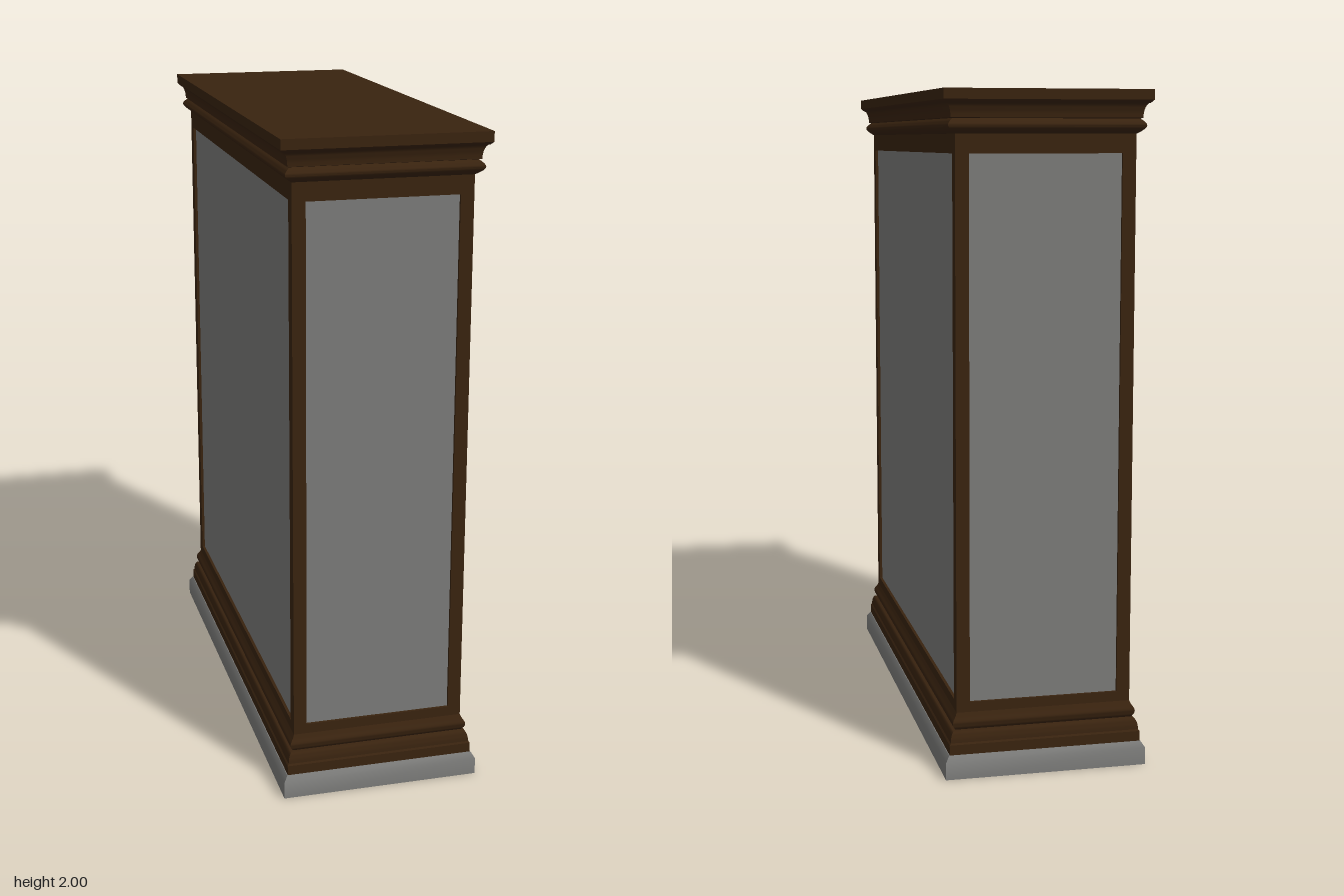
import * as THREE from 'three';
import { toCreasedNormals } from 'three/addons/utils/BufferGeometryUtils.js';

const HX = 0.265, HZ = 0.755;      // half width and half depth of the body
const BOTTOM = 0.22, TOP = 1.82;   // panel opening
const STILE = 0.04, RECESS = 0.01;

// Sweep an [outset, y] profile (bottom to top) round the body with mitred corners, capped at both ends
function moulding(profile) {
  const pos = [];
  const ring = ([o, y]) => [[1, 1], [1, -1], [-1, -1], [-1, 1]].map(([sx, sz]) => [sx * (HX + o), y, sz * (HZ + o)]);
  const quad = (a, b, c, d) => pos.push(...a, ...b, ...c, ...a, ...c, ...d);
  const rings = profile.map(ring);
  for (let i = 0; i < rings.length - 1; i++) {
    for (let k = 0; k < 4; k++) {
      const n = (k + 1) % 4;
      quad(rings[i][k], rings[i][n], rings[i + 1][n], rings[i + 1][k]);
    }
  }
  const t = rings[rings.length - 1], b = rings[0];
  quad(t[0], t[1], t[2], t[3]);
  quad(b[3], b[2], b[1], b[0]);
  const g = new THREE.BufferGeometry();
  g.setAttribute('position', new THREE.Float32BufferAttribute(pos, 3));
  return toCreasedNormals(g, 0.6);
}

// Half-round bead between two heights
function bead(y0, y1, inset, bulge, steps = 8) {
  return Array.from({ length: steps + 1 }, (_, i) => {
    const t = i / steps;
    return [inset + bulge * Math.sin(Math.PI * t), y0 + (y1 - y0) * t];
  });
}

// Quarter-round cove from one [outset, y] point to another
function cove(a, b, sweepFirst, steps = 6) {
  return Array.from({ length: steps + 1 }, (_, i) => {
    const t = (i / steps) * Math.PI / 2;
    const u = sweepFirst ? Math.sin(t) : 1 - Math.cos(t);
    const v = sweepFirst ? 1 - Math.cos(t) : Math.sin(t);
    return [a[0] + (b[0] - a[0]) * u, a[1] + (b[1] - a[1]) * v];
  });
}

function rectangle(Type, hw, y0, y1) {
  const s = new Type();
  s.moveTo(-hw, y0);
  s.lineTo(hw, y0);
  s.lineTo(hw, y1);
  s.lineTo(-hw, y1);
  s.closePath();
  return s;
}

export function createModel() {
  const wood = new THREE.MeshStandardMaterial({ color: 0x39230f });
  wood.name = 'dark wood';
  const grey = new THREE.MeshStandardMaterial({ color: 0x7b7b79 });
  grey.name = 'grey stone';

  const model = new THREE.Group();
  model.name = 'panelledPillar';
  const add = (parent, name, geometry, material) => {
    const mesh = new THREE.Mesh(geometry, material);
    mesh.name = name;
    parent.add(mesh);
    return mesh;
  };

  // Stone plinth with a chamfered top edge
  add(model, 'plinth', moulding([[0.04, 0], [0.04, 0.052], [0.028, 0.07]]), grey);

  // Wooden skirting: flared foot and a bead
  add(model, 'skirting', moulding([
    [0.026, 0.07], [0.026, 0.1],
    ...cove([0.022, 0.105], [0.009, 0.138], false),
    ...bead(0.14, 0.18, 0.004, 0.01),
    [0, 0.19],
  ]), wood);

  // Cornice: bead, cove and flat top board
  add(model, 'cornice', moulding([
    [0, 1.875],
    ...bead(1.88, 1.918, 0.008, 0.016),
    ...cove([0.015, 1.92], [0.032, 1.962], false).map(([o, y], i) => [o, y]),
    [0.04, 1.97], [0.04, 2],
  ]), wood);

  // Four framed sides, each with a recessed panel
  const sides = [['front', HX, HZ, 0], ['left', HZ, HX, 1], ['back', HX, HZ, 2], ['right', HZ, HX, 3]];
  for (const [name, half, out, turn] of sides) {
    const side = new THREE.Group();
    side.name = name + 'Side';
    side.rotation.y = turn * Math.PI / 2;
    const shape = rectangle(THREE.Shape, half, 0.1, 1.95);
    shape.holes.push(rectangle(THREE.Path, half - STILE, BOTTOM, TOP));
    const frame = new THREE.ExtrudeGeometry(shape, { depth: RECESS, bevelEnabled: false });
    add(side, name + 'Frame', frame, wood).position.z = out - RECESS;
    const panel = new THREE.PlaneGeometry(2 * (half - STILE), TOP - BOTTOM);
    add(side, name + 'Panel', panel, grey).position.set(0, (TOP + BOTTOM) / 2, out - RECESS + 0.001);
    model.add(side);
  }
  return model;
}
